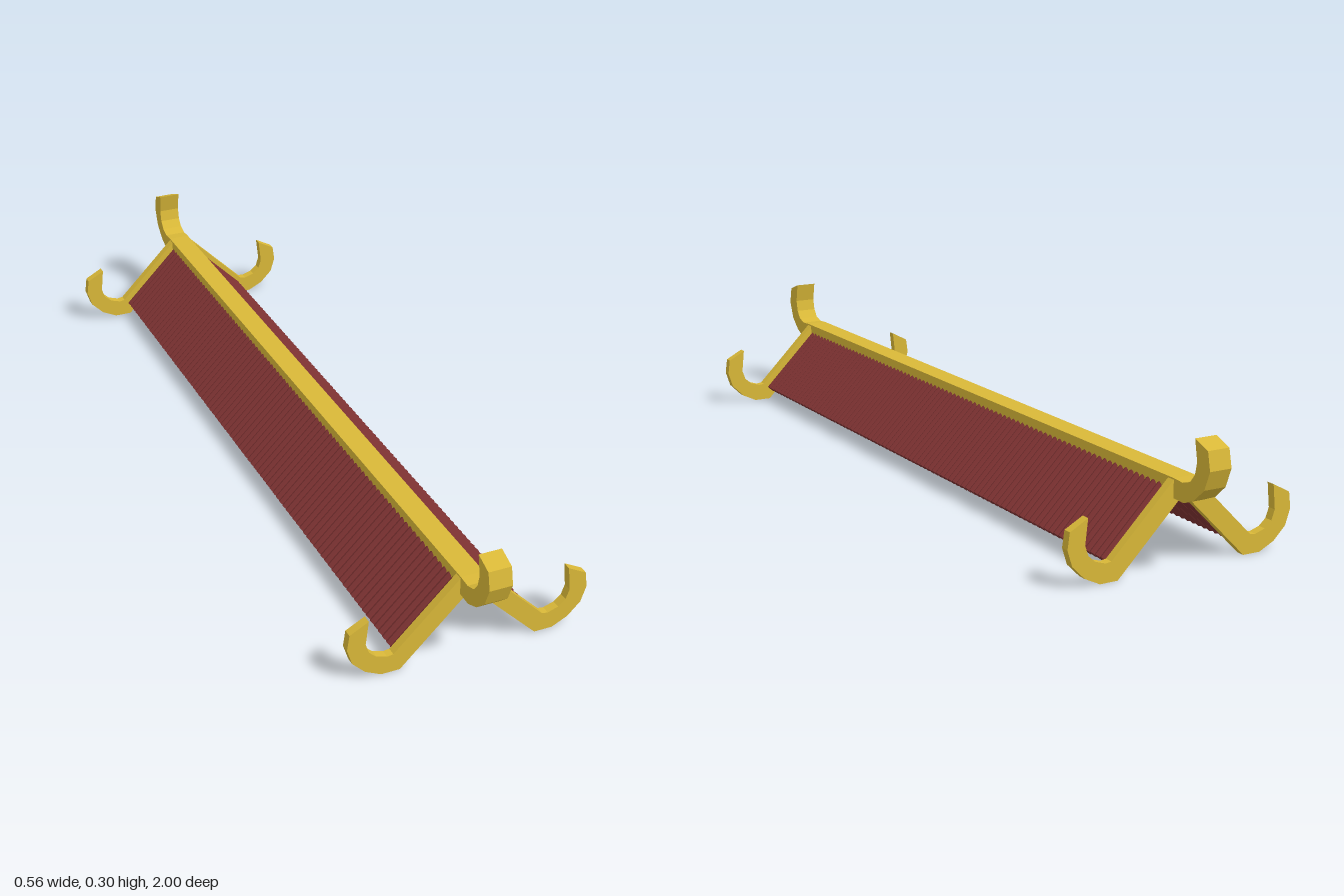
import * as THREE from 'three';

const gold = new THREE.MeshStandardMaterial({ color: 0xd9b838, flatShading: true });
const red = new THREE.MeshStandardMaterial({ color: 0x7d3232, flatShading: true });

const outline = (points) => new THREE.Shape(points.map(([x, y]) => new THREE.Vector2(x, y)));

// Extrude an outline, centred on its own depth
function slab(points, depth) {
  const geometry = new THREE.ExtrudeGeometry(outline(points), { depth, bevelEnabled: false });
  return geometry.translate(0, 0, -depth / 2);
}

export function createModel() {
  const group = new THREE.Group();
  const add = (name, geometry, material) => {
    const mesh = new THREE.Mesh(geometry, material);
    mesh.name = name;
    group.add(mesh);
    return mesh;
  };
  const mirror = (points) => points.map(([x, y]) => [-x, y]).reverse();

  // Ridge beam with upward hooks at both ends, drawn in side profile
  const hookTop = [
    [0.99, 0.281], [0.947, 0.297], [0.956, 0.25], [0.95, 0.222],
    [0.935, 0.203], [0.91, 0.195], [0.88, 0.197],
  ];
  const hookBottom = [
    [0.87, 0.155], [0.915, 0.153], [0.95, 0.168], [0.982, 0.197], [0.999, 0.24],
  ];
  const beam = slab([...hookBottom, ...hookTop, ...mirror([...hookBottom, ...hookTop])], 0.053);
  add('ridgeBeam', beam.rotateY(-Math.PI / 2), gold);

  // Gable frames: two rafters meeting at the ridge, each curling up at the eave
  const rafter = [
    [0.007, 0.153], [0.16, 0], [0.203, 0], [0.24, 0.018], [0.27, 0.048], [0.282, 0.085],
    [0.277, 0.122], [0.234, 0.145], [0.24, 0.088], [0.232, 0.065], [0.215, 0.05],
    [0.19, 0.042], [0.176, 0.044], [0.024, 0.196],
  ];
  const gable = slab([...rafter, ...mirror(rafter)], 0.02);
  for (const side of [1, -1]) {
    add(side > 0 ? 'frontGable' : 'backGable', gable, gold).position.z = side * 0.87;
  }

  // Roof slopes: rows of slim round tiles running from ridge to eave
  const count = 86;
  const pitch = 1.72 / count;
  const tile = new THREE.CylinderGeometry(pitch / 2, pitch / 2, 0.205, 8);
  const matrix = new THREE.Matrix4();
  for (const side of [1, -1]) {
    const tiles = new THREE.Group();
    tiles.name = side > 0 ? 'leftRoof' : 'rightRoof';
    matrix.makeRotationZ(side * Math.PI / 4);
    const sloped = tile.clone().applyMatrix4(matrix);
    for (let i = 0; i < count; i++) {
      const mesh = new THREE.Mesh(sloped, red);
      mesh.name = 'roofTile';
      mesh.position.set(side * 0.088, 0.102, -0.86 + (i + 0.5) * pitch);
      tiles.add(mesh);
    }
    group.add(tiles);
  }
  return group;
}
